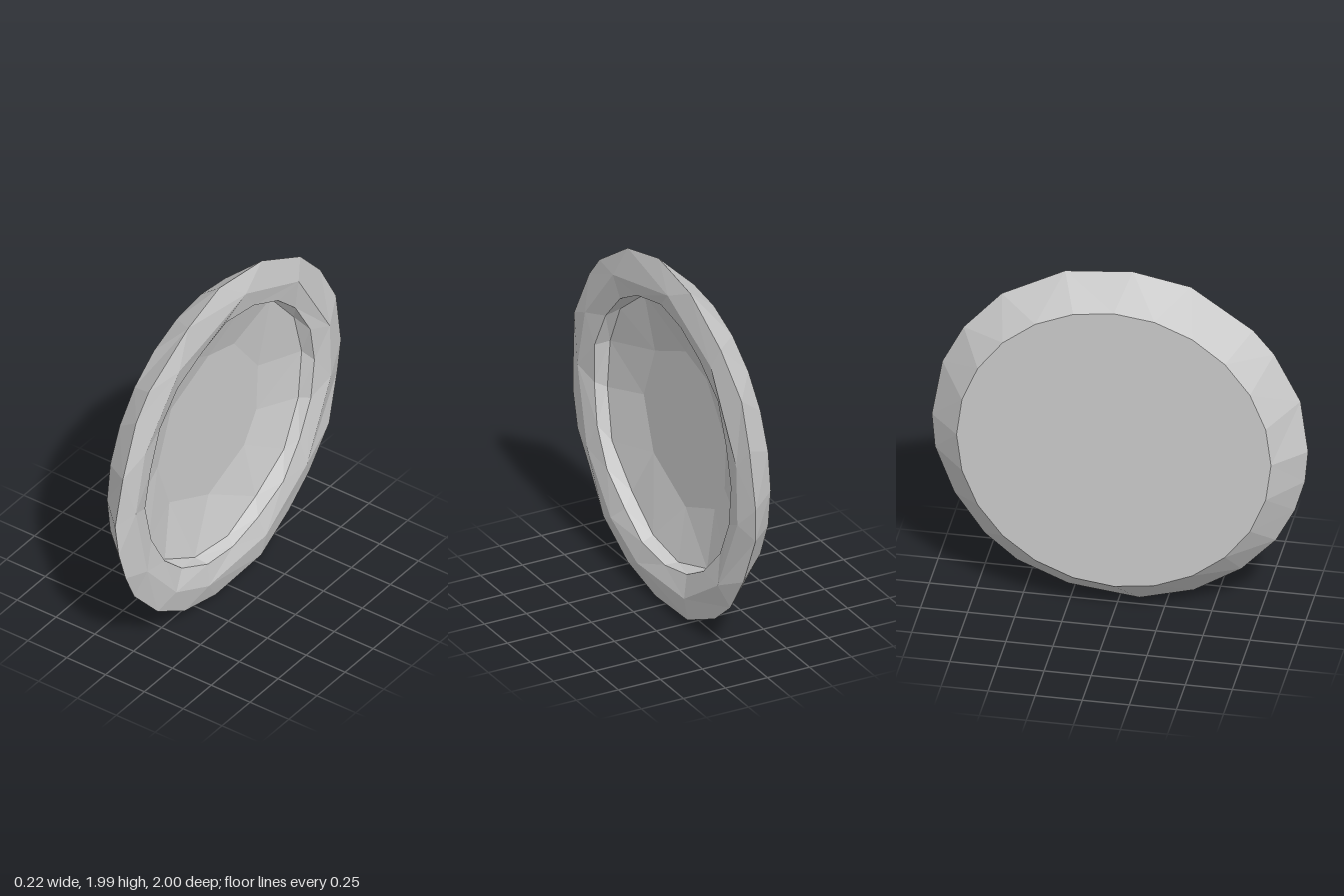
import * as THREE from 'three';

const even = (n, start = 0) => Array.from({ length: n }, (_, i) => start + (i * 360) / n);

// A ring around the x axis: angles in degrees, radius, position along x, small alternating wobble in x
const ring = (angles, r, x, wobble = 0) => angles.map((deg, i) => {
  const a = THREE.MathUtils.degToRad(deg);
  return { deg, p: [x + wobble * Math.sin(i * 2.3), 1 + r * Math.sin(a), -r * Math.cos(a)] };
});

// Joins two rings with any number of corners into a band of triangles
function stitch(a, b, out) {
  const n = a.length, m = b.length;
  const at = (list, k) => list[k % list.length];
  const angle = (list, k) => at(list, k).deg + 360 * Math.floor(k / list.length);
  let i = 0, j = 0;
  while (i < n || j < m) {
    const stepA = j === m || (i < n && angle(a, i + 1) <= angle(b, j + 1));
    const next = stepA ? at(a, i + 1) : at(b, j + 1);
    const from = stepA ? at(a, i) : at(b, j);
    if (next !== from) out.push(...at(b, j).p, ...at(a, i).p, ...next.p);
    if (stepA) i++; else j++;
  }
}

function band(name, rings) {
  const pos = [];
  for (let k = 0; k + 1 < rings.length; k++) stitch(rings[k], rings[k + 1], pos);
  const geo = new THREE.BufferGeometry();
  geo.setAttribute('position', new THREE.Float32BufferAttribute(pos, 3));
  geo.computeVertexNormals();
  const mesh = new THREE.Mesh(geo, new THREE.MeshStandardMaterial({ color: 0xcccccc, flatShading: true }));
  mesh.name = name;
  return mesh;
}

export function createModel() {
  const group = new THREE.Group();
  group.name = 'dish';

  // Irregular, hand-cut corner positions
  const rimAngles = [0, 19, 34, 51, 73, 94, 112, 135, 145, 163, 180, 191, 202, 214, 230, 247, 264, 286, 303, 316, 332, 349];
  const crestAngles = [13, 49, 83, 124, 155, 178, 208, 234, 255, 289, 318, 351];
  const floorAngles = [15, 60, 90, 137, 180, 220, 270, 314, 339];

  const backCentre = ring([0], 0, -0.11);
  const back = ring(even(24), 0.835, -0.11);
  const rim = ring(rimAngles, 1, 0.07, 0.01);
  const crest = ring(crestAngles, 0.875, 0.105);
  const lip = ring(even(20, 2), 0.75, 0.08, 0.008);
  const wallFoot = ring(even(16, 5), 0.735, 0.01, 0.012);
  const floor = ring(floorAngles, 0.455, -0.06);
  const floorCentre = ring([0], 0, -0.06);

  group.add(
    band('backPlate', [backCentre, back]),
    band('outerBevel', [back, rim]),
    band('frontRim', [rim, crest, lip]),
    band('innerWall', [lip, wallFoot]),
    band('bowl', [wallFoot, floor, floorCentre]),
  );
  return group;
}
